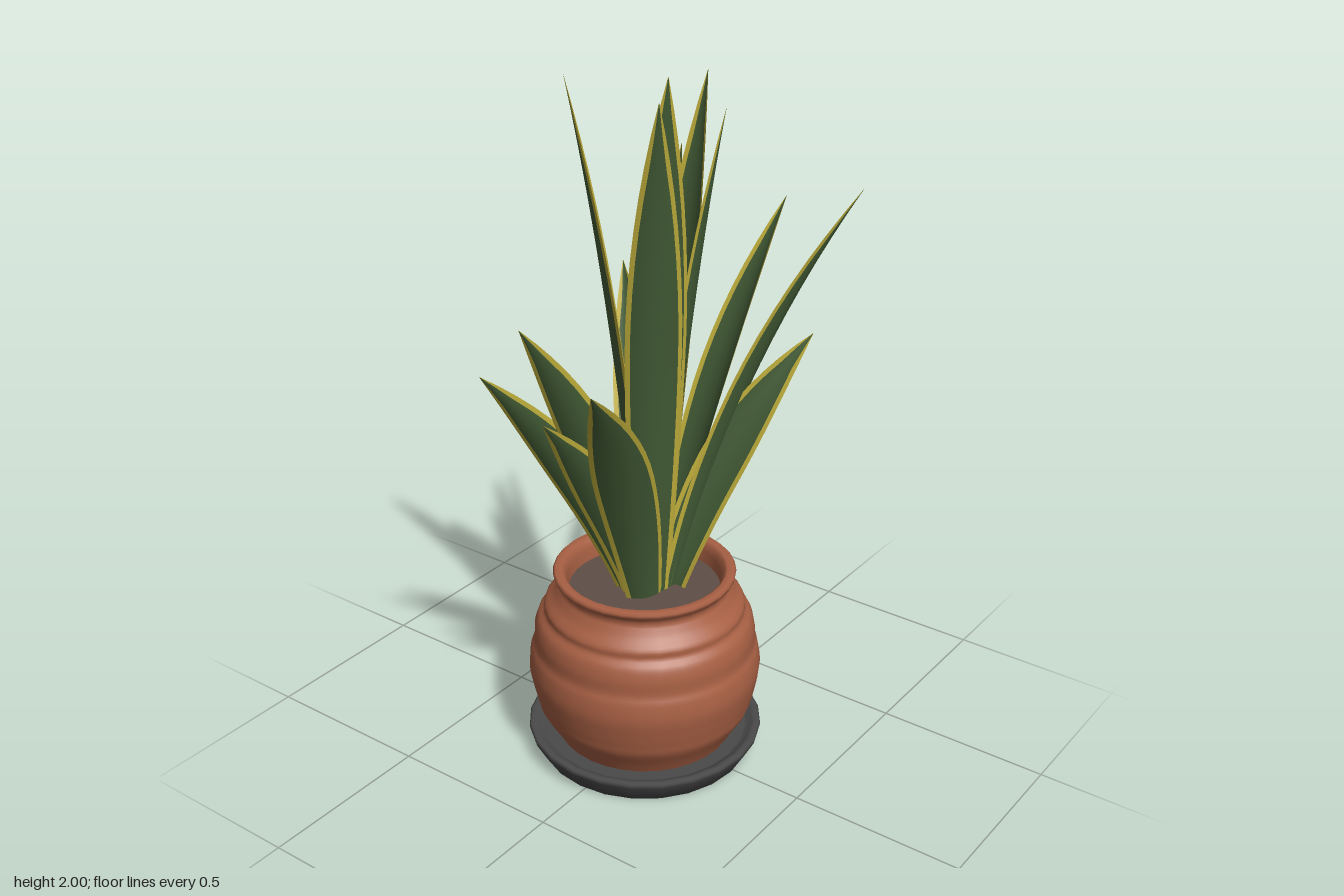
import * as THREE from 'three';

const mat = (name, color, side = THREE.FrontSide) => {
  const m = new THREE.MeshStandardMaterial({ color, side });
  m.name = name;
  return m;
};

// Each leaf: tip x, y, z, full width, facing in degrees (0 = +z, 90 = +x)
const LEAVES = [
  // tall inner leaves
  [-0.14, 2.0, 0.15, 0.17, -30],
  [-0.19, 1.95, 0.16, 0.15, -40],
  [-0.11, 1.95, -0.19, 0.16, -140],
  [0.27, 1.91, -0.02, 0.15, 75],
  [0.15, 1.86, 0.12, 0.16, 25],
  // arching right side leaves
  [0.47, 1.61, 0.345, 0.15, 8],
  [0.465, 1.63, -0.24, 0.15, 65],
  [0.48, 1.54, 0.10, 0.15, 62],
  [0.315, 1.24, 0.30, 0.13, 112],
  [0.29, 1.32, -0.315, 0.14, 92],
  [0.325, 1.35, -0.25, 0.13, 85],
  // arching left side leaves
  [-0.48, 1.31, 0.175, 0.16, -33],
  [-0.36, 1.20, -0.285, 0.14, -58],
  [-0.355, 1.36, -0.15, 0.14, -55],
  [-0.375, 1.13, -0.065, 0.13, -45],
  // short young leaf
  [0.28, 0.91, 0.03, 0.12, 60],
];

// Channelled blade swept along a bent spine; group 0 is the blade, group 1 the margins
function leafGeometry([x, y, z, width, facing]) {
  const lean = Math.atan2(x, z);
  const reach = Math.hypot(x, z);
  const face = THREE.MathUtils.degToRad(facing);
  const baseR = 0.012 + reach * 0.08;
  const at = (r, h) => new THREE.Vector3(Math.sin(lean) * r, h, Math.cos(lean) * r);
  const spine = new THREE.QuadraticBezierCurve3(
    at(baseR, 0.48),
    at(baseR + (reach - baseR) * 0.27, 0.48 + (y - 0.48) * 0.56),
    new THREE.Vector3(x, y, z));
  const rows = 16, cols = 8;
  const pos = [], blade = [], margin = [];
  for (let i = 0; i <= rows; i++) {
    const t = i / rows;
    const p = spine.getPoint(t);
    const tangent = spine.getTangent(t);
    // blade normal: keeps its compass direction while staying square to the spine
    const normal = new THREE.Vector3(Math.sin(face), 0, Math.cos(face));
    normal.y = -(normal.x * tangent.x + normal.z * tangent.z) / tangent.y;
    normal.normalize();
    const side = new THREE.Vector3().crossVectors(tangent, normal);
    // narrow foot, widest at the middle, pointed tip
    const grow = 0.6 + 0.4 * Math.sin(Math.min(t / 0.5, 1) * Math.PI / 2);
    const taper = t < 0.5 ? 1 : 1 - Math.pow((t - 0.5) / 0.5, 1.9);
    const half = width / 2 * grow * taper + 0.0008;
    const edge = Math.max(0.55, 1 - 0.012 / half);
    for (let j = 0; j <= cols; j++) {
      const u = j === 0 ? -1 : j === cols ? 1 : ((j - 1) / (cols - 2) * 2 - 1) * edge;
      const cup = half * 0.4 * (u * u - 0.3) * (1 - 0.4 * t);
      const v = p.clone().addScaledVector(side, u * half).addScaledVector(normal, -cup);
      pos.push(v.x, v.y, v.z);
    }
  }
  for (let i = 0; i < rows; i++) {
    for (let j = 0; j < cols; j++) {
      const a = i * (cols + 1) + j, b = a + 1, c = a + cols + 1, d = c + 1;
      (j === 0 || j === cols - 1 ? margin : blade).push(a, b, d, a, d, c);
    }
  }
  const g = new THREE.BufferGeometry();
  g.setAttribute('position', new THREE.Float32BufferAttribute(pos, 3));
  g.setIndex([...blade, ...margin]);
  g.addGroup(0, blade.length, 0);
  g.addGroup(blade.length, margin.length, 1);
  g.computeVertexNormals();
  return g;
}

export function createModel() {
  const model = new THREE.Group();
  model.name = 'pottedPlant';
  const clay = mat('terracotta', 0xa86044);
  const slate = mat('saucerGrey', 0x4a4a4a);
  const earth = mat('soilBrown', 0x5e4f47);
  const green = mat('leafGreen', 0x435c36, THREE.DoubleSide);
  const yellow = mat('leafMarginYellow', 0xc2b03c, THREE.DoubleSide);

  const base = new THREE.Group();
  base.name = 'potAndSaucer';
  base.position.set(-0.01, 0, -0.018);
  model.add(base);
  const add = (name, geometry, material) => {
    const m = new THREE.Mesh(geometry, material);
    m.name = name;
    base.add(m);
    return m;
  };
  const vec = (pts) => pts.map(([r, h]) => new THREE.Vector2(r, h));

  // shallow saucer with a flared lip
  add('saucer', new THREE.LatheGeometry(vec([
    [0, 0], [0.304, 0], [0.334, 0.055], [0.336, 0.066], [0.331, 0.07],
    [0.318, 0.07], [0.312, 0.067], [0.298, 0.057], [0.29, 0.055], [0, 0.055],
  ]), 24), slate);

  // round pot body with soft thrown ridges
  const body = new THREE.SplineCurve(vec([
    [0.245, 0.04], [0.272, 0.09], [0.302, 0.14], [0.312, 0.175], [0.32, 0.21], [0.329, 0.265],
    [0.324, 0.315], [0.314, 0.345], [0.312, 0.385], [0.302, 0.42], [0.284, 0.442], [0.281, 0.465],
    [0.257, 0.492], [0.24, 0.52],
  ])).getPoints(52);
  add('pot', new THREE.LatheGeometry([
    ...body,
    ...vec([[0.238, 0.53], [0.244, 0.543], [0.254, 0.552], [0.256, 0.562], [0.25, 0.568],
      [0.232, 0.568], [0.224, 0.562], [0.215, 0.54], [0.212, 0.48]]),
  ], 32), clay);

  // soil disc inside the rim
  const soil = add('soil', new THREE.CircleGeometry(0.214, 32), earth);
  soil.rotation.x = -Math.PI / 2;
  soil.position.y = 0.505;

  const foliage = new THREE.Group();
  foliage.name = 'foliage';
  model.add(foliage);
  LEAVES.forEach((spec, i) => {
    const leaf = new THREE.Mesh(leafGeometry(spec), [green, yellow]);
    leaf.name = `leaf${i + 1}`;
    foliage.add(leaf);
  });
  return model;
}
